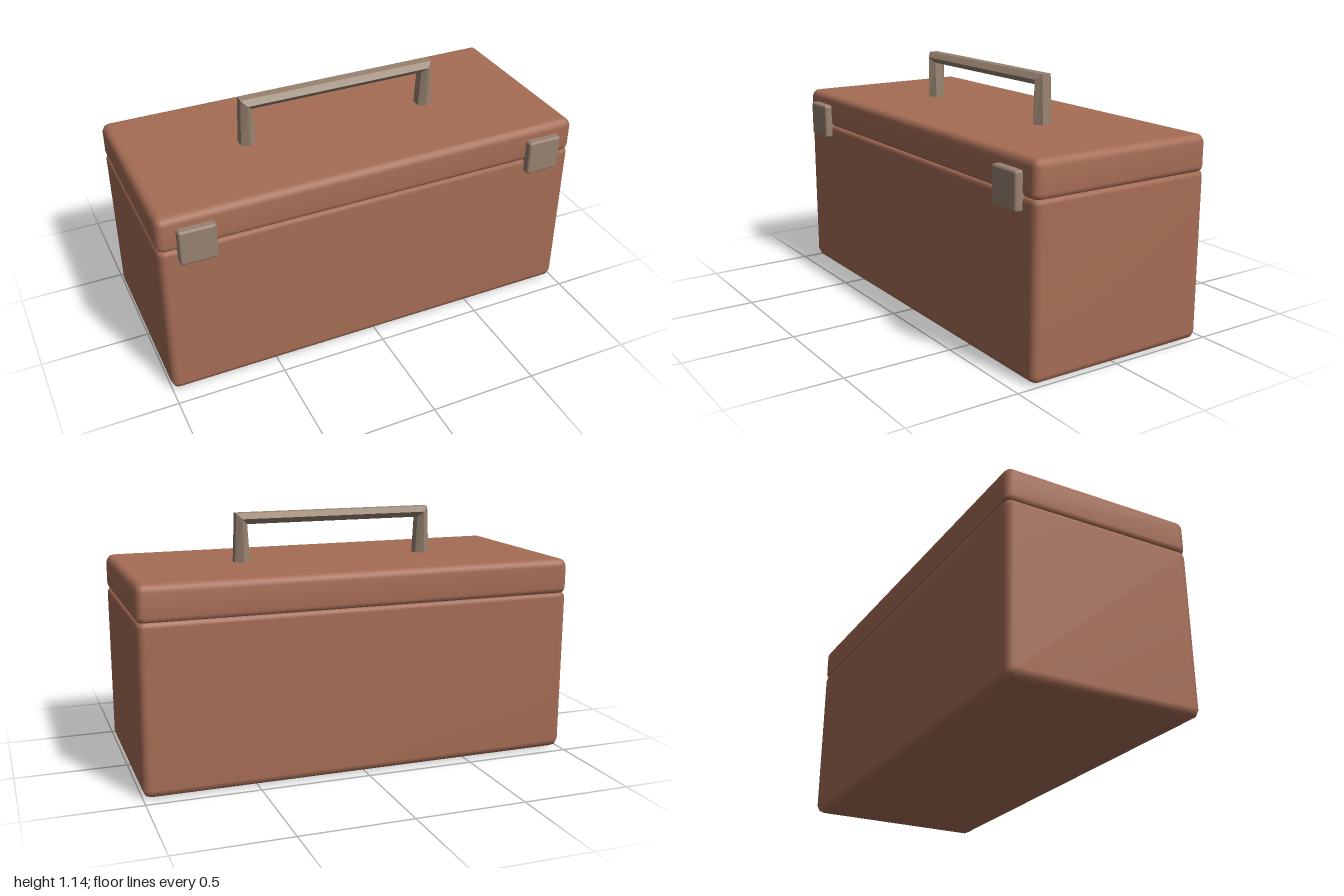
import * as THREE from 'three';
import { RoundedBoxGeometry } from 'three/addons/geometries/RoundedBoxGeometry.js';

// Skin a list of closed loops (arrays of Vector3, equal length) and cap both ends.
function loft(loops) {
  const n = loops[0].length;
  const pos = [];
  const idx = [];
  loops.forEach((loop) => loop.forEach((p) => pos.push(p.x, p.y, p.z)));
  for (let j = 0; j < loops.length - 1; j++) {
    for (let i = 0; i < n; i++) {
      const a = j * n + i, b = j * n + (i + 1) % n;
      idx.push(a, b, b + n, a, b + n, a + n);
    }
  }
  const last = (loops.length - 1) * n;
  for (let i = 1; i < n - 1; i++) {
    idx.push(0, i + 1, i);
    idx.push(last, last + i, last + i + 1);
  }
  const g = new THREE.BufferGeometry();
  g.setAttribute('position', new THREE.Float32BufferAttribute(pos, 3));
  g.setIndex(idx);
  g.computeVertexNormals();
  return g;
}

// Horizontal rounded rectangle at height y, shrunk by inset.
function rectLoop(y, inset) {
  const hx = 1 - inset, hz = 0.443 - inset;
  const r = Math.max(0.034 - inset, 0.01);
  const corners = [[1, -1, Math.PI / 2], [1, 1, 0], [-1, 1, -Math.PI / 2], [-1, -1, -Math.PI]];
  const pts = [];
  for (const [sx, sz, start] of corners) {
    for (let k = 0; k <= 3; k++) {
      const t = start - (k / 3) * (Math.PI / 2);
      pts.push(new THREE.Vector3(sx * (hx - r) + r * Math.cos(t), y, sz * (hz - r) - r * Math.sin(t)));
    }
  }
  return pts.reverse();
}

// Each row is [height, inset].
const shell = (rows) => loft(rows.map(([y, d]) => rectLoop(y, d)));

// Hexagonal handle section, widest along z.
function handleLoop(cx, cy, ox, oy) {
  const section = [[1, -0.022], [1, 0.022], [0, 0.044], [-1, 0.022], [-1, -0.022], [0, -0.044]];
  return section.map(([s, z]) => new THREE.Vector3(cx + ox * s, cy + oy * s, z));
}

export function createModel() {
  const caseMat = new THREE.MeshStandardMaterial({ color: 0xa66d55 });
  caseMat.name = 'caseBrown';
  const metalMat = new THREE.MeshStandardMaterial({ color: 0x978270 });
  metalMat.name = 'fittingTaupe';

  const model = new THREE.Group();
  model.name = 'toolbox';
  const add = (name, geometry, material, x = 0, y = 0, z = 0) => {
    const mesh = new THREE.Mesh(geometry, material);
    mesh.name = name;
    mesh.position.set(x, y, z);
    model.add(mesh);
  };

  // Case body and lid, each with softened edges that form the seam groove
  add('body', shell([
    [0, 0.045], [0.004, 0.03], [0.014, 0.012], [0.04, 0], [0.738, 0], [0.752, 0.004], [0.76, 0.012],
  ]), caseMat, 0, 0, -0.017);
  add('lid', shell([
    [0.76, 0.012], [0.767, 0.005], [0.782, 0], [0.885, 0], [0.904, 0.009], [0.914, 0.02], [0.918, 0.036],
  ]), caseMat, 0, 0, -0.017);

  // Carry handle: two flared legs mitred into a straight bar
  const handle = loft([
    handleLoop(-0.445, 0.9, -0.036, 0),
    handleLoop(-0.445, 1.115, -0.025, 0.025),
    handleLoop(0.445, 1.115, 0.025, 0.025),
    handleLoop(0.445, 0.9, 0.036, 0),
  ]).toNonIndexed();
  handle.computeVertexNormals();
  add('handle', handle, metalMat, 0, 0, -0.017);

  // Front latches bridging the seam
  for (const side of [-1, 1]) {
    add(side > 0 ? 'leftLatch' : 'rightLatch',
      new RoundedBoxGeometry(0.166, 0.166, 0.06, 2, 0.012), metalMat, side * 0.833, 0.782, 0.43);
  }
  return model;
}
